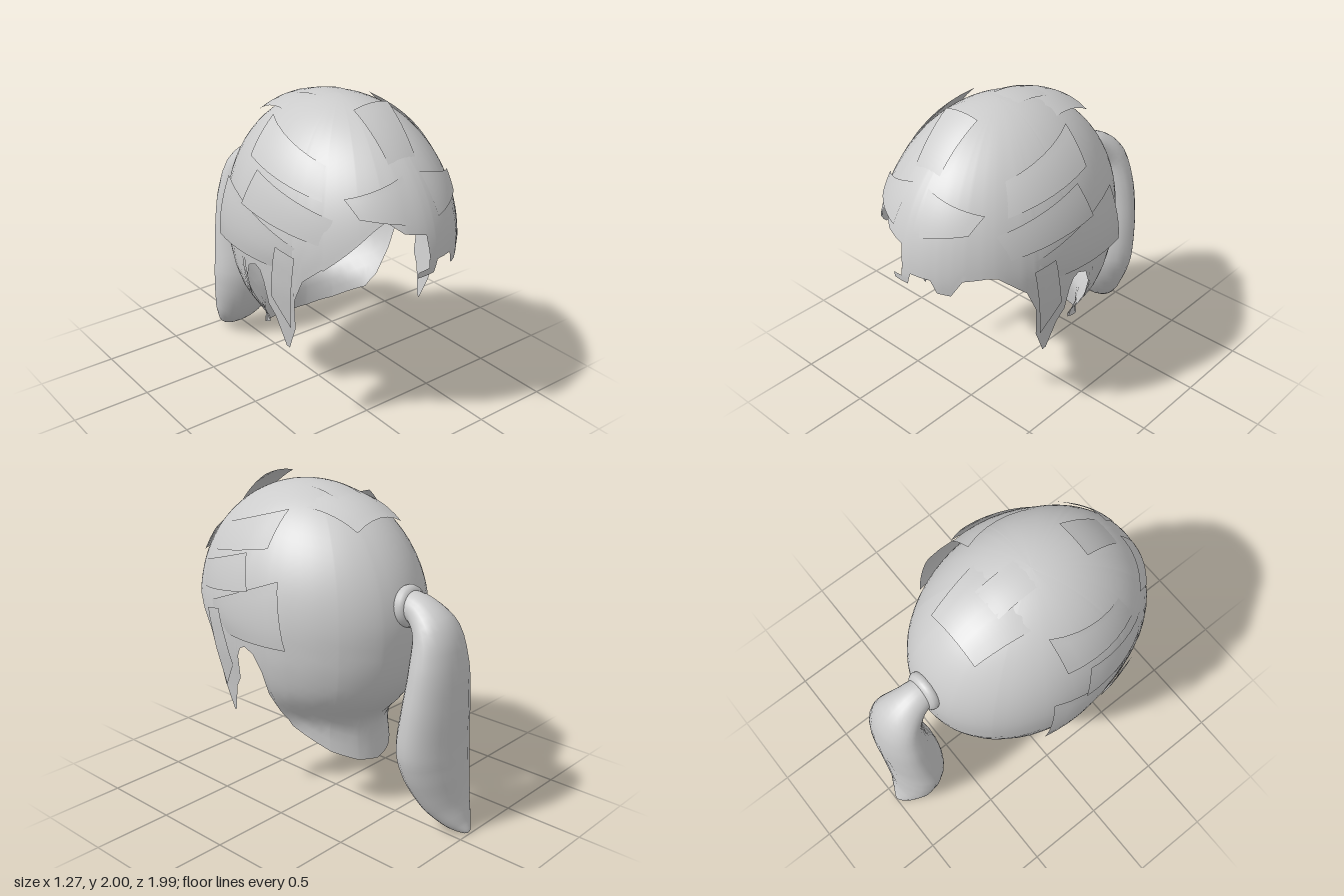
import * as THREE from 'three';

const material = new THREE.MeshStandardMaterial({ color: 0xcccccc, side: THREE.DoubleSide });
const CY = 1.2, CZ = 0.2, RX = 0.6, RY = 0.78, RZ = 0.79;
const rad = THREE.MathUtils.degToRad;

// Linear lookup in a table of [key, value], keys ascending
function lookup(table, k) {
  if (k <= table[0][0]) return table[0][1];
  for (let i = 1; i < table.length; i++) {
    const [k0, v0] = table[i - 1], [k1, v1] = table[i];
    if (k <= k1) return v0 + (v1 - v0) * (k - k0) / (k1 - k0);
  }
  return table[table.length - 1][1];
}

// Smooth grid surface; fn(i, j) returns a Vector3, wrap closes the i direction
function gridMesh(name, ni, nj, fn, wrap = false) {
  const pos = [], index = [];
  for (let i = 0; i < ni; i++) for (let j = 0; j < nj; j++) pos.push(...fn(i, j).toArray());
  for (let i = 0; i < (wrap ? ni : ni - 1); i++) {
    for (let j = 0; j < nj - 1; j++) {
      const a = i * nj + j, b = ((i + 1) % ni) * nj + j;
      index.push(a, a + 1, b, b, a + 1, b + 1);
    }
  }
  const geometry = new THREE.BufferGeometry();
  geometry.setAttribute('position', new THREE.Float32BufferAttribute(pos, 3));
  geometry.setIndex(index);
  geometry.computeVertexNormals();
  const mesh = new THREE.Mesh(geometry, material);
  mesh.name = name;
  return mesh;
}

// Horizontal scale of the hair shell at height y: domed above, tucked in at the nape
const napeScale = [[0.32, 0.7], [0.45, 0.675], [0.57, 0.67], [0.63, 0.71], [0.7, 0.8], [0.8, 0.9], [0.9, 0.95], [1.02, 0.985], [1.2, 1]];
const lockScale = [[0.59, 0.87], [0.8, 0.92], [1, 0.975], [1.2, 1]];
function shellScale(y, angle = 0) {
  if (y >= CY) return Math.sqrt(Math.max(0, 1 - ((y - CY) / RY) ** 2));
  const w = THREE.MathUtils.smoothstep(Math.abs(angle), 88, 100);
  return lookup(lockScale, y) * (1 - w) + lookup(napeScale, y) * w;
}

// Lower hairline as [angle from the front in degrees, height]
const fringeEdge = [[-53, 1.2], [-37, 1.37], [-30, 1.44], [-23, 1.49], [-14, 1.42], [-1, 1.39], [1, 1.22],
  [5, 1.235], [18, 1.23], [21, 1.15], [28, 1.14], [34, 1.24], [45, 1.25], [50, 1.24]];
const sideEdge = [[54, 1.2], [63, 1.1], [68, 0.95], [69, 0.75], [74, 0.59], [76, 0.6], [81, 0.78], [85, 0.85],
  [86, 1], [88, 1.06], [91, 1.08], [96, 1.05], [100, 0.95], [102, 0.8], [104, 0.65], [111, 0.55], [139, 0.41], [160, 0.345], [180, 0.32]];
const hairline = [...sideEdge.map(([a, y]) => [-a, y]).reverse(), ...fringeEdge, ...sideEdge];

function buildCap() {
  const angles = hairline.map(k => k[0]);
  for (let a = -174; a < 180; a += 6) if (!angles.includes(a)) angles.push(a);
  angles.sort((a, b) => a - b);
  angles.pop(); // the seam at the back is shared
  const rows = 30;
  return gridMesh('hairCap', angles.length, rows, (i, j) => {
    const a = angles[i], edge = lookup(hairline, a);
    const end = edge >= CY ? Math.acos((edge - CY) / RY) : Math.PI / 2 + (CY - edge) / RY;
    const phi = end * j / (rows - 1);
    const y = phi < Math.PI / 2 ? CY + RY * Math.cos(phi) : CY - RY * (phi - Math.PI / 2);
    const f = shellScale(y, a);
    return new THREE.Vector3(RX * f * Math.sin(rad(a)), y, CZ + RZ * f * Math.cos(rad(a)));
  }, true);
}

// Projections of a flat point onto the shell
const root = v => Math.sqrt(Math.max(0, v));
const fromSide = (z, y) => new THREE.Vector3(RX * root(shellScale(y) ** 2 - ((z - CZ) / RZ) ** 2), y, z);
const fromFront = (x, y) => new THREE.Vector3(x, y, CZ + RZ * root(shellScale(y) ** 2 - (x / RX) ** 2));
const fromTop = (x, z) => new THREE.Vector3(x, CY + RY * root(1 - (x / RX) ** 2 - ((z - CZ) / RZ) ** 2), z);

// Flat strand laid over the shell: rows of [left, right] points, rising from lift0 to lift1
function strand(name, project, rows, lift0, lift1, mirror = 1) {
  const centre = new THREE.Vector3(0, CY, CZ), n = 9, m = 7;
  return gridMesh(name, n, m, (i, j) => {
    const t = i / (n - 1), s = t * (rows.length - 1), k = Math.min(Math.floor(s), rows.length - 2);
    const mix = (p, q, u) => [p[0] + (q[0] - p[0]) * u, p[1] + (q[1] - p[1]) * u];
    const left = mix(rows[k][0], rows[k + 1][0], s - k), right = mix(rows[k][1], rows[k + 1][1], s - k);
    const p = project(...mix(left, right, j / (m - 1)));
    p.sub(centre).multiplyScalar(1 + lift0 + (lift1 - lift0) * t).add(centre);
    p.x *= mirror;
    return p;
  });
}

// Ponytail: spine point, half width, half depth
const tailSections = [
  [0, 1.37, -0.56, 0.09, 0.09], [0, 1.35, -0.66, 0.11, 0.095], [0, 1.25, -0.765, 0.165, 0.12],
  [0, 1.05, -0.795, 0.22, 0.14], [0, 0.8, -0.785, 0.255, 0.16], [-0.01, 0.55, -0.765, 0.27, 0.175],
  [-0.03, 0.38, -0.785, 0.245, 0.162], [-0.06, 0.2, -0.84, 0.185, 0.12], [-0.08, 0.07, -0.925, 0.1, 0.06],
  [-0.09, 0.012, -0.985, 0.025, 0.015], [-0.09, 0.005, -0.99, 0.001, 0.001]];
function buildTail() {
  const spine = new THREE.CatmullRomCurve3(tailSections.map(s => new THREE.Vector3(s[0], s[1], s[2])));
  const sizes = new THREE.CatmullRomCurve3(tailSections.map(s => new THREE.Vector3(s[3], s[4], 0)));
  const sides = 24, rings = 41, across = new THREE.Vector3(1, 0, 0);
  return gridMesh('ponytail', sides, rings, (i, j) => {
    const t = j / (rings - 1), a = i / sides * Math.PI * 2, size = sizes.getPoint(t);
    const out = spine.getTangent(t).cross(across).normalize();
    return spine.getPoint(t).addScaledVector(across, Math.cos(a) * size.x).addScaledVector(out, Math.sin(a) * size.y);
  }, true);
}

export function createModel() {
  const group = new THREE.Group();
  group.name = 'ponytailHair';
  group.add(buildCap(), buildTail());

  // Hair tie
  const tie = new THREE.Mesh(new THREE.TorusGeometry(0.083, 0.042, 12, 32), material);
  tie.name = 'hairTie';
  tie.position.set(0, 1.36, -0.57);
  tie.rotation.x = 0.12;
  group.add(tie);

  // Mirrored strands along the sides and over the forehead
  for (const side of [1, -1]) {
    group.add(
      strand('earStrand', fromSide, [[[0.62, 1.25], [0.42, 1.12]], [[-0.06, 1.5], [-0.13, 1.15]]], -0.02, 0.11, side),
      strand('templeStrand', fromSide, [[[0.74, 1.47], [0.69, 1.33]], [[0.18, 1.61], [0.12, 1.42]]], -0.01, 0.09, side),
      strand('upperStrand', fromSide, [[[0.68, 1.7], [0.76, 1.54]], [[0.05, 1.84], [0.06, 1.65]]], -0.02, 0.07, side),
      strand('sideLock', fromSide, [[[0.52, 1.24], [0.39, 1.27]], [[0.43, 0.75], [0.31, 0.93]]], 0.03, 0.01, side),
      strand('browStrand', fromFront, [[[0.06, 1.69], [0.1, 1.46]], [[0.36, 1.59], [0.33, 1.5]]], 0.005, 0.025, side));
  }

  // Crown strands with lifted ends, and the curled fringe tip
  group.add(
    strand('frontCrownStrand', fromTop, [[[-0.1, 0.82], [0.08, 0.82]], [[-0.12, 0.46], [0.1, 0.46]]], -0.02, 0.085),
    strand('backCrownStrand', fromTop, [[[-0.26, 0.05], [0.26, 0.05]], [[-0.18, -0.31], [0.18, -0.31]]], -0.01, 0.06),
    strand('topStrand', fromTop, [[[-0.1, 0.3], [0.1, 0.3]], [[-0.1, -0.1], [0.1, -0.1]]], -0.01, 0.018),
    strand('fringeCurl', fromFront, [[[0, 1.25], [0.07, 1.25]], [[0, 1.2], [0.04, 1.16]], [[-0.07, 1.19], [-0.07, 1.155]]], 0, 0));
  return group;
}
